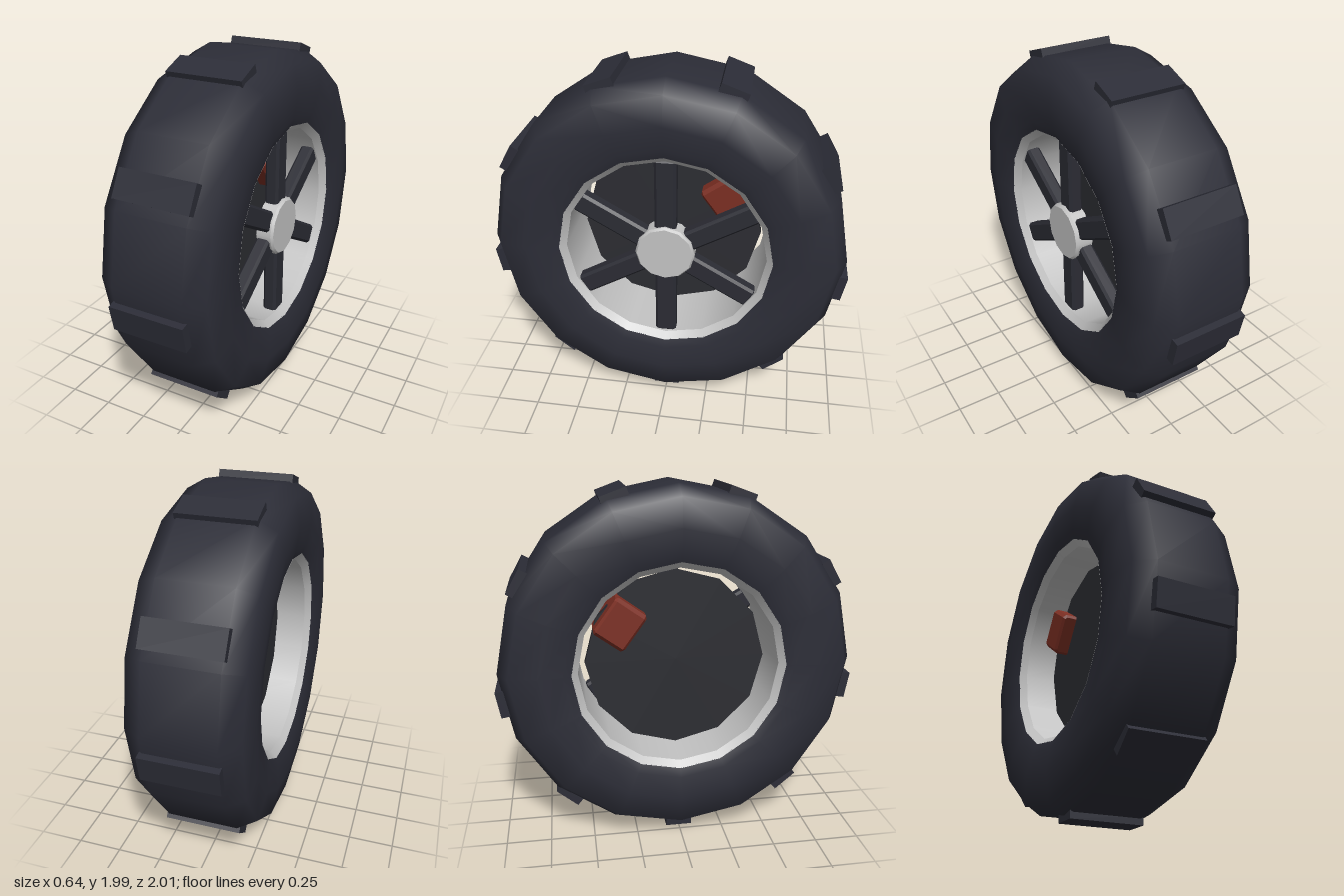
import * as THREE from 'three';

const mat = (name, color, side = THREE.FrontSide) => {
  const m = new THREE.MeshStandardMaterial({ color, side });
  m.name = name;
  return m;
};

export function createModel() {
  const rubber = mat('rubber', 0x2c2d37);
  const spokePaint = mat('spokePaint', 0x2b2c34);
  const iron = mat('discIron', 0x2c2d32);
  const silver = mat('silver', 0xc4c4c4, THREE.DoubleSide);
  const red = mat('caliperRed', 0x7c2f23);

  const model = new THREE.Group();
  model.name = 'wheel';
  const wheel = new THREE.Group();
  wheel.name = 'wheelAssembly';
  wheel.position.y = 1.005;
  model.add(wheel);

  const add = (name, geometry, material, parent = wheel) => {
    const mesh = new THREE.Mesh(geometry, material);
    mesh.name = name;
    parent.add(mesh);
    return mesh;
  };

  // Surface of revolution about the x axis; points are [radius, x]
  const revolve = (points, sides = 16) =>
    new THREE.LatheGeometry(points.map(([r, x]) => new THREE.Vector2(r, x)), sides).rotateZ(-Math.PI / 2);

  // Disc or drum lying across the x axis between two x positions
  const drum = (r0, r1, x0, x1, sides) =>
    new THREE.CylinderGeometry(r1, r0, x1 - x0, sides).rotateZ(-Math.PI / 2).translate((x0 + x1) / 2, 0, 0);

  // Chamfered bar running outwards along z from radius r0 to r1
  const bar = (axial, width, r0, r1, c) => {
    const a = axial / 2, w = width / 2;
    const shape = new THREE.Shape([
      [a - c, -w], [a, -w + c], [a, w - c], [a - c, w],
      [-a + c, w], [-a, w - c], [-a, -w + c], [-a + c, -w],
    ].map(([x, y]) => new THREE.Vector2(x, y)));
    const b = c * 0.7;
    return new THREE.ExtrudeGeometry(shape, {
      depth: r1 - r0 - 2 * b, bevelEnabled: true, bevelSegments: 1,
      bevelThickness: b, bevelSize: b, bevelOffset: -b,
    }).translate(0, 0, r0 + b);
  };

  // Tyre
  add('tyre', revolve([
    [0.59, -0.285], [0.64, -0.303], [0.77, -0.32], [0.925, -0.297], [0.985, -0.195],
    [0.985, 0.195], [0.925, 0.297], [0.77, 0.32], [0.64, 0.303], [0.59, 0.285],
  ]), rubber);

  // Tread blocks
  for (let i = 0; i < 9; i++) {
    const block = add('treadBlock', new THREE.BoxGeometry(0.42, 0.05, 0.15).translate(0, -0.98, 0), rubber);
    block.rotation.x = (i / 9) * Math.PI * 2;
  }

  // Rim barrel with a sloping lip on each side
  add('rimBarrel', revolve([[0.557, 0.25], [0.557, -0.25]]), silver);
  add('rimLipOuter', revolve([[0.592, 0.287], [0.557, 0.25]]), silver);
  add('rimLipInner', revolve([[0.557, -0.25], [0.592, -0.287]]), silver);

  // Spokes
  for (let i = 0; i < 6; i++) {
    const spoke = add('spoke', bar(0.08, 0.118, 0.1, 0.552, 0.014), spokePaint);
    spoke.position.x = 0.205;
    spoke.rotation.x = Math.PI / 6 + (i * Math.PI) / 3;
  }

  // Hub and its cap
  add('hub', drum(0.165, 0.165, 0.17, 0.255, 12), silver);
  add('hubCap', drum(0.165, 0.155, 0.255, 0.268, 12), silver);

  // Brake disc and caliper
  add('brakeDisc', drum(0.513, 0.513, -0.085, -0.04, 12), iron);
  const caliper = add('brakeCaliper', bar(0.22, 0.245, 0.29, 0.495, 0.02), red);
  caliper.position.x = -0.06;
  caliper.rotation.x = -(Math.PI - 0.63);

  return model;
}
